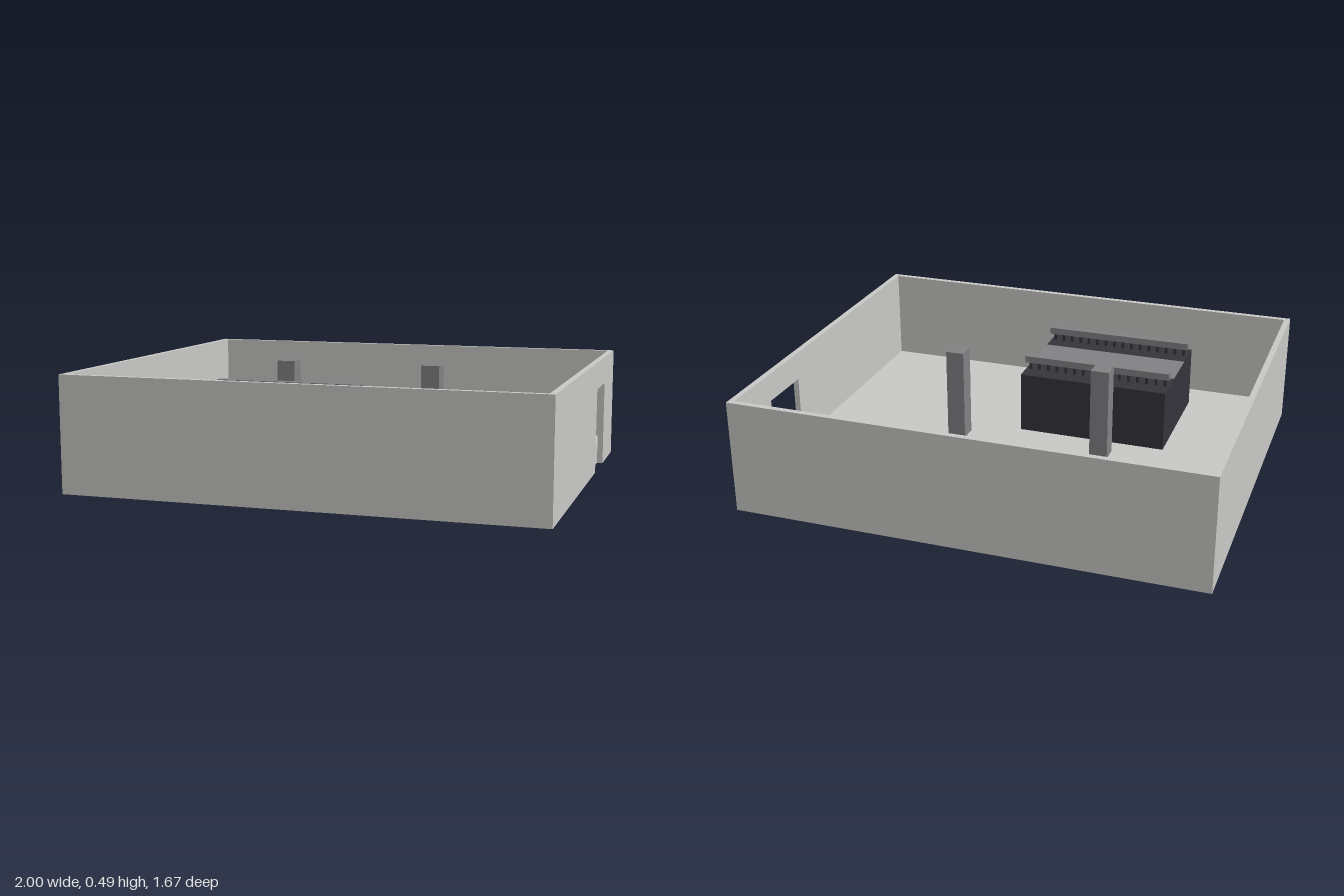
import * as THREE from 'three';

const W = 1, D = 0.835, H = 0.49, T = 0.025, FLOOR = 0.08;

const material = (name, color) => {
  const m = new THREE.MeshStandardMaterial({ color });
  m.name = name;
  return m;
};

export function createModel() {
  const concrete = material('light concrete', 0xc8c8c6);
  const grey = material('mid grey', 0x818183);
  const dark = material('dark charcoal', 0x35343b);
  const group = new THREE.Group();

  // Box given by its minimum and maximum on each axis
  const box = (name, mat, [x0, x1], [y0, y1], [z0, z1], parent = group) => {
    const mesh = new THREE.Mesh(new THREE.BoxGeometry(x1 - x0, y1 - y0, z1 - z0), mat);
    mesh.position.set((x0 + x1) / 2, (y0 + y1) / 2, (z0 + z1) / 2);
    mesh.name = name;
    parent.add(mesh);
    return mesh;
  };

  // Room shell: thick floor slab between four walls
  box('floor', concrete, [-W + T, W - T], [0, FLOOR], [-D + T, D - T]);
  box('frontWall', concrete, [-W, W], [0, H], [D - T, D]);
  box('backWall', concrete, [-W, W], [0, H], [-D, -D + T]);
  box('rightWall', concrete, [-W, -W + T], [0, H], [-D + T, D - T]);

  // Left wall with a doorway cut from its lower edge
  const e = D - T;
  const outline = new THREE.Shape([
    [-e, 0], [0.285, 0], [0.285, 0.37], [0.53, 0.37], [0.53, 0], [e, 0], [e, H], [-e, H],
  ].map(([u, y]) => new THREE.Vector2(u, y)));
  const doorGeometry = new THREE.ExtrudeGeometry(outline, { depth: T, bevelEnabled: false });
  doorGeometry.rotateY(Math.PI / 2);
  const doorWall = new THREE.Mesh(doorGeometry, concrete);
  doorWall.position.x = W - T;
  doorWall.name = 'doorWall';
  group.add(doorWall);

  // Two square pillars
  for (const x of [-0.33, 0.33]) {
    box('pillar', grey, [x - 0.04, x + 0.04], [0, 0.485], [-0.043, 0.037]);
  }

  // Dark platform with a grey central strip
  const platform = new THREE.Group();
  platform.name = 'platform';
  group.add(platform);
  const span = [-0.58, 0.08], top = 0.35;
  box('platformBlock', dark, span, [FLOOR, top], [0.12, 0.655], platform);
  box('centreStrip', grey, span, [top, top + 0.004], [0.285, 0.49], platform);

  // Rails carried on rows of small posts
  for (const z of [0.202, 0.573]) {
    box('rail', grey, span, [0.385, 0.415], [z - 0.02, z + 0.02], platform);
    for (let i = 0; i < 16; i++) {
      const x = -0.56 + i * 0.0413;
      box('railPost', dark, [x - 0.006, x + 0.006], [top, 0.385], [z - 0.006, z + 0.006], platform);
    }
  }
  return group;
}
